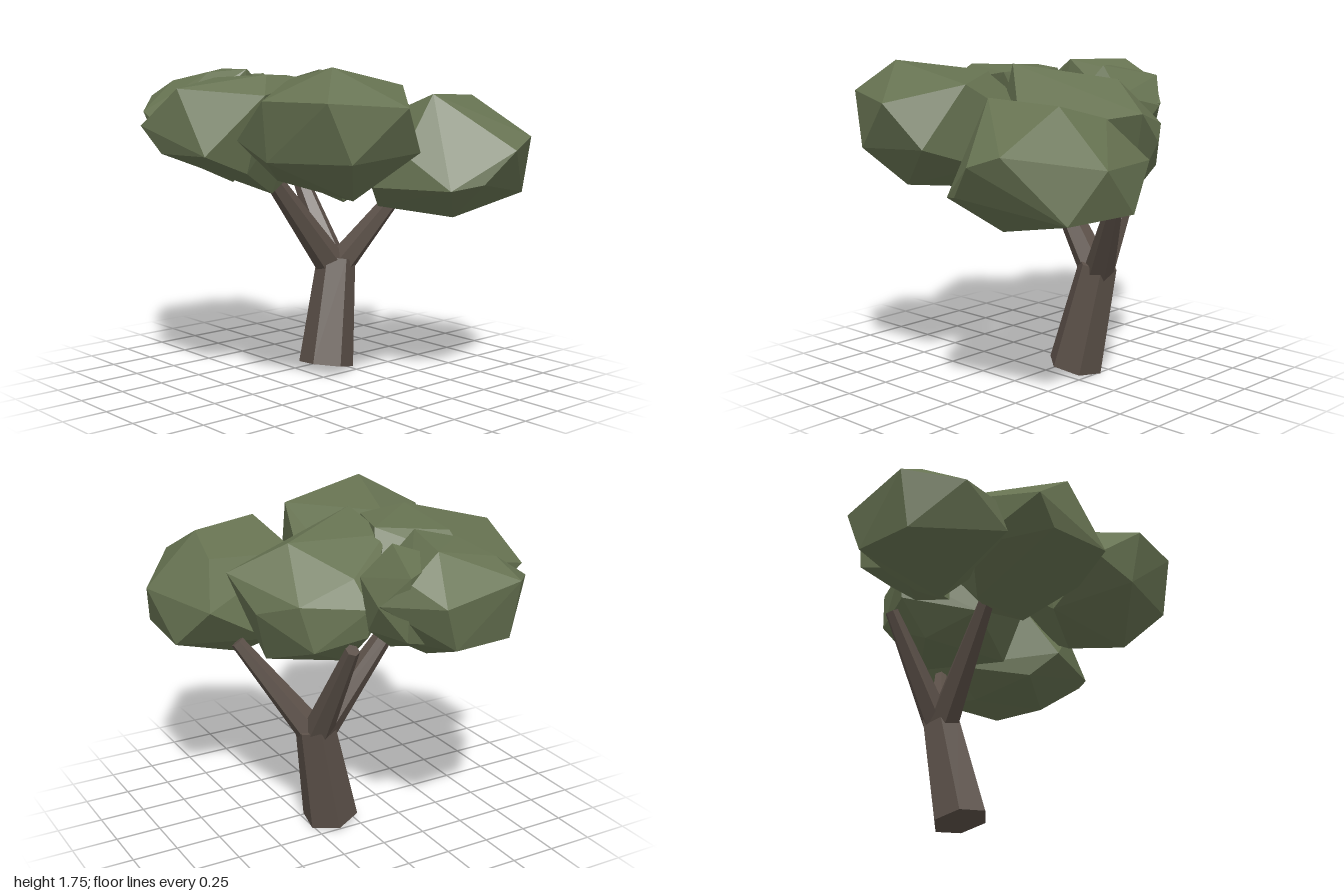
import * as THREE from 'three';
import { ConvexGeometry } from 'three/addons/geometries/ConvexGeometry.js';

const V = (p) => new THREE.Vector3(...p);

export function createModel() {
  const tree = new THREE.Group();
  tree.name = 'tree';
  const bark = new THREE.MeshStandardMaterial({ name: 'bark brown', color: 0x5b5048, flatShading: true });
  const leaf = new THREE.MeshStandardMaterial({ name: 'leaf green', color: 0x667251, flatShading: true });

  // Tapered six-sided limb between two points
  function limb(name, from, to, rFrom, rTo, turn = 0) {
    const a = V(from), b = V(to), dir = b.clone().sub(a);
    const geo = new THREE.CylinderGeometry(rTo, rFrom, dir.length(), 6);
    geo.rotateY(turn);
    const mesh = new THREE.Mesh(geo, bark);
    mesh.quaternion.setFromUnitVectors(new THREE.Vector3(0, 1, 0), dir.normalize());
    mesh.position.copy(a.add(b).multiplyScalar(0.5));
    mesh.name = name;
    tree.add(mesh);
  }

  // Faceted leaf clump wrapped around its corner points
  function clump(name, ...corners) {
    const mesh = new THREE.Mesh(new ConvexGeometry(corners.map(V)), leaf);
    mesh.name = name;
    tree.add(mesh);
  }

  // Leaning trunk and three branches
  limb('trunk', [0.12, 0.032, -0.115], [0.24, 0.625, -0.165], 0.155, 0.11, -0.17);
  limb('leftBranch', [0.25, 0.58, -0.16], [0.57, 1.08, 0.08], 0.085, 0.038);
  limb('backBranch', [0.235, 0.57, -0.17], [0.22, 1.17, -0.53], 0.085, 0.038);
  limb('rightBranch', [0.22, 0.58, -0.17], [-0.22, 1.16, -0.22], 0.09, 0.045);

  // Leaf clumps, each listed from top to bottom
  clump('frontLeftClump',
    [0.2, 1.6, 0.63], [0.59, 1.58, 0.54], [0.64, 1.5, 0.25], [0.1, 1.45, 0.3],
    [0.6, 1.38, 0.95], [0.43, 1.32, 1.0], [0.89, 1.3, 0.53], [0.74, 1.28, 0.03],
    [0.02, 1.3, 0.6], [0.27, 1.15, 0.93], [0.12, 1.12, 0.84],
    [0.81, 1.05, 0.72], [0.84, 1.05, 0.27], [0.4, 1.08, 0.04], [-0.06, 1.12, 0.45],
    [0.33, 0.95, 0.66], [0.47, 0.95, 0.26], [0.08, 1.0, 0.35]);

  clump('frontRightClump',
    [-0.49, 1.75, 0.63], [0.01, 1.65, 0.6], [-0.33, 1.67, 0.1], [-0.65, 1.59, 0.78],
    [-0.76, 1.59, 0.43], [-0.26, 1.56, 0.92], [0.08, 1.49, 0.35], [-0.7, 1.38, 0.15],
    [0, 1.45, 0.1], [-0.08, 1.33, 0.82], [-0.54, 1.3, 0.83], [-0.71, 1.29, 0.4],
    [0.02, 1.22, 0.5], [-0.38, 1.1, 0.66], [-0.2, 1.08, 0.4], [-0.4, 1.15, 0.1]);

  clump('rightClump',
    [-0.43, 1.67, -0.4], [-0.47, 1.7, 0.1], [-0.1, 1.68, -0.2], [-0.2, 1.67, 0.12],
    [-0.83, 1.63, -0.18], [-0.56, 1.6, 0.2], [-0.43, 1.55, -0.58], [-0.89, 1.43, -0.43],
    [-0.02, 1.4, -0.35], [-0.84, 1.3, 0.07], [-0.85, 1.29, -0.3], [-0.5, 1.25, -0.55],
    [-0.6, 1.2, 0.1], [-0.1, 1.18, -0.1], [-0.32, 1.06, -0.05], [-0.3, 1.1, -0.35]);

  clump('centreClump',
    [-0.13, 1.72, 0.12], [0.38, 1.65, -0.15], [-0.15, 1.64, -0.22], [0.15, 1.5, -0.42],
    [0.66, 1.5, -0.01], [0.42, 1.45, 0.25], [0.15, 1.45, 0.36], [0.46, 1.4, -0.42],
    [0.13, 1.37, -0.55], [-0.22, 1.4, 0.13], [0.6, 1.33, -0.22], [0.4, 1.16, -0.46],
    [0.13, 1.22, -0.53], [0.5, 1.04, -0.12], [0.15, 1.04, -0.35], [-0.12, 1.15, -0.2],
    [0.04, 1.0, 0.12]);

  clump('backClump',
    [-0.2, 1.71, -0.42], [-0.1, 1.7, -0.79], [-0.35, 1.69, -0.58], [-0.42, 1.64, -0.82],
    [0.09, 1.58, -0.84], [-0.46, 1.55, -0.98], [-0.02, 1.48, -1.0], [-0.68, 1.48, -0.73],
    [0.2, 1.46, -0.75], [0.12, 1.45, -0.45], [-0.7, 1.42, -0.56], [-0.1, 1.25, -0.97],
    [-0.7, 1.27, -0.48], [-0.45, 1.24, -0.92], [0, 1.2, -0.6], [-0.15, 1.17, -0.75],
    [-0.3, 1.2, -0.4], [-0.22, 1.07, -0.53]);

  clump('smallBackClump',
    [-0.02, 1.68, -0.5], [-0.14, 1.66, -0.77], [0.09, 1.61, -0.85], [0.2, 1.45, -0.74],
    [0.14, 1.52, -0.46], [-0.1, 1.5, -0.36], [0.09, 1.28, -0.83], [0.16, 1.28, -0.58],
    [-0.15, 1.2, -0.75], [0, 1.15, -0.53], [-0.15, 1.13, -0.42]);

  return tree;
}
